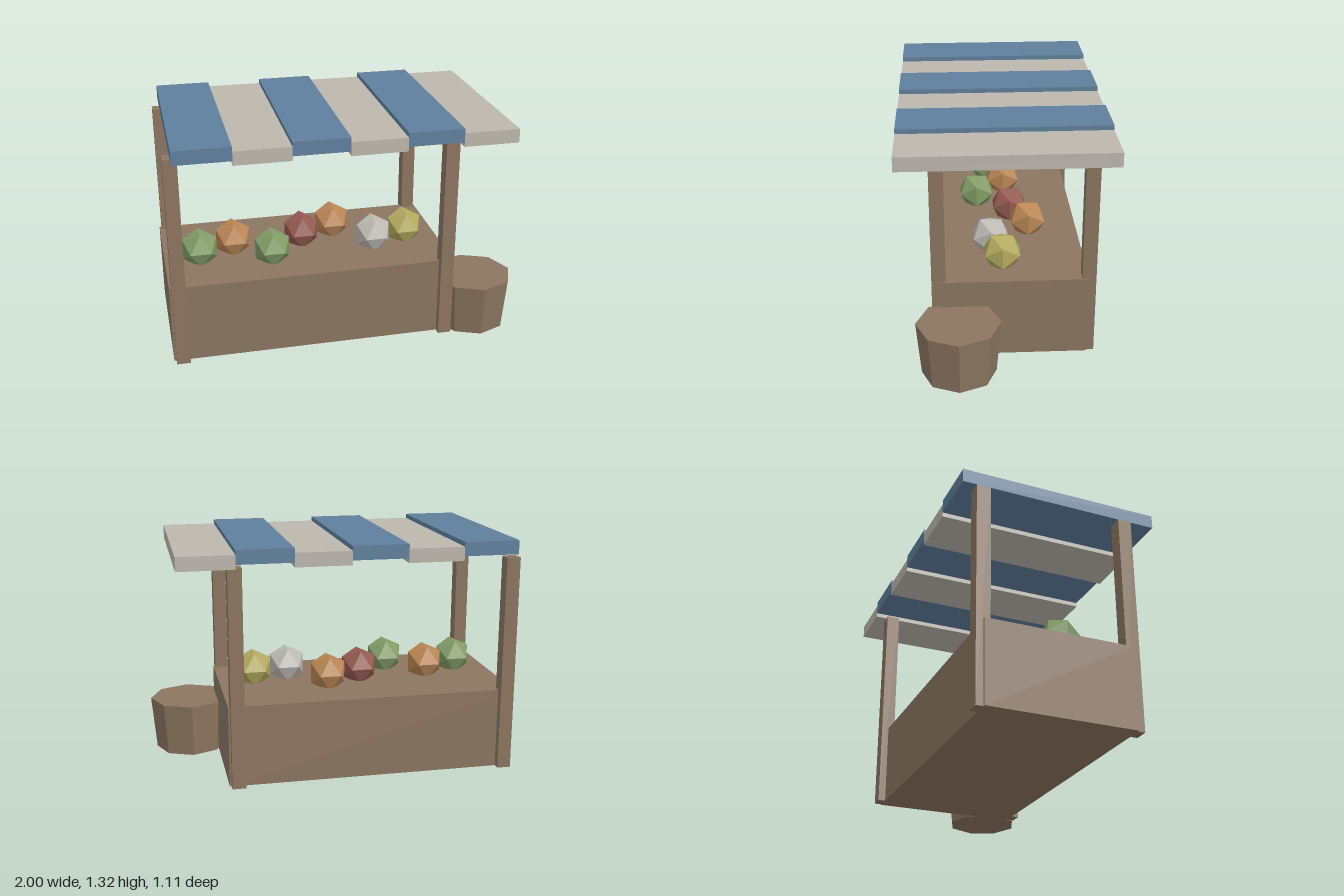
import * as THREE from 'three';

const material = (name, color) => {
  const m = new THREE.MeshStandardMaterial({ color });
  m.name = name;
  m.flatShading = true;
  return m;
};

export function createModel() {
  const wood = material('wood', 0x8b7560);
  const blue = material('blue cloth', 0x5f7f9c);
  const pale = material('pale cloth', 0xbcb7ae);
  const green = material('green produce', 0x829c66);
  const orange = material('orange produce', 0xba8654);
  const red = material('red produce', 0x945a52);
  const white = material('white produce', 0xbebbb6);
  const yellow = material('yellow produce', 0xb3aa5e);

  const model = new THREE.Group();
  model.name = 'marketStall';
  const add = (name, geometry, mat, x, y, z) => {
    const mesh = new THREE.Mesh(geometry, mat);
    mesh.name = name;
    mesh.position.set(x, y, z);
    model.add(mesh);
    return mesh;
  };

  // Counter
  add('counter', new THREE.BoxGeometry(1.615, 0.455, 0.81), wood, -0.1925, 0.2275, -0.05);

  // Four corner posts
  const post = new THREE.BoxGeometry(0.076, 1.215, 0.076);
  for (const x of [-0.95, 0.567])
    for (const z of [0.357, -0.457]) add('post', post, wood, x, 0.6075, z);

  // Awning of alternating high blue and low pale panels
  const width = 0.3035;
  const panel = new THREE.BoxGeometry(width, 0.076, 1.112);
  for (let i = 0; i < 6; i++) {
    const low = i % 2 === 1;
    add('awningPanel', panel, low ? pale : blue, -0.95 + width * (i + 0.5), low ? 1.257 : 1.282, 0);
  }

  // Row of faceted produce resting on the counter
  const fruit = new THREE.IcosahedronGeometry(0.114, 0).rotateY(Math.PI / 2);
  const row = [
    [green, 0.04], [orange, -0.05], [green, 0.122], [red, -0.07],
    [orange, -0.165], [white, 0.06], [yellow, 0.005],
  ];
  row.forEach(([mat, z], i) => add('produce', fruit, mat, -0.8 + 0.2025 * i, 0.531, z));

  // Tapered eight-sided barrel beside the counter
  add('barrel', new THREE.CylinderGeometry(0.228, 0.202, 0.304, 8), wood, 0.772, 0.152, 0.255);

  return model;
}
